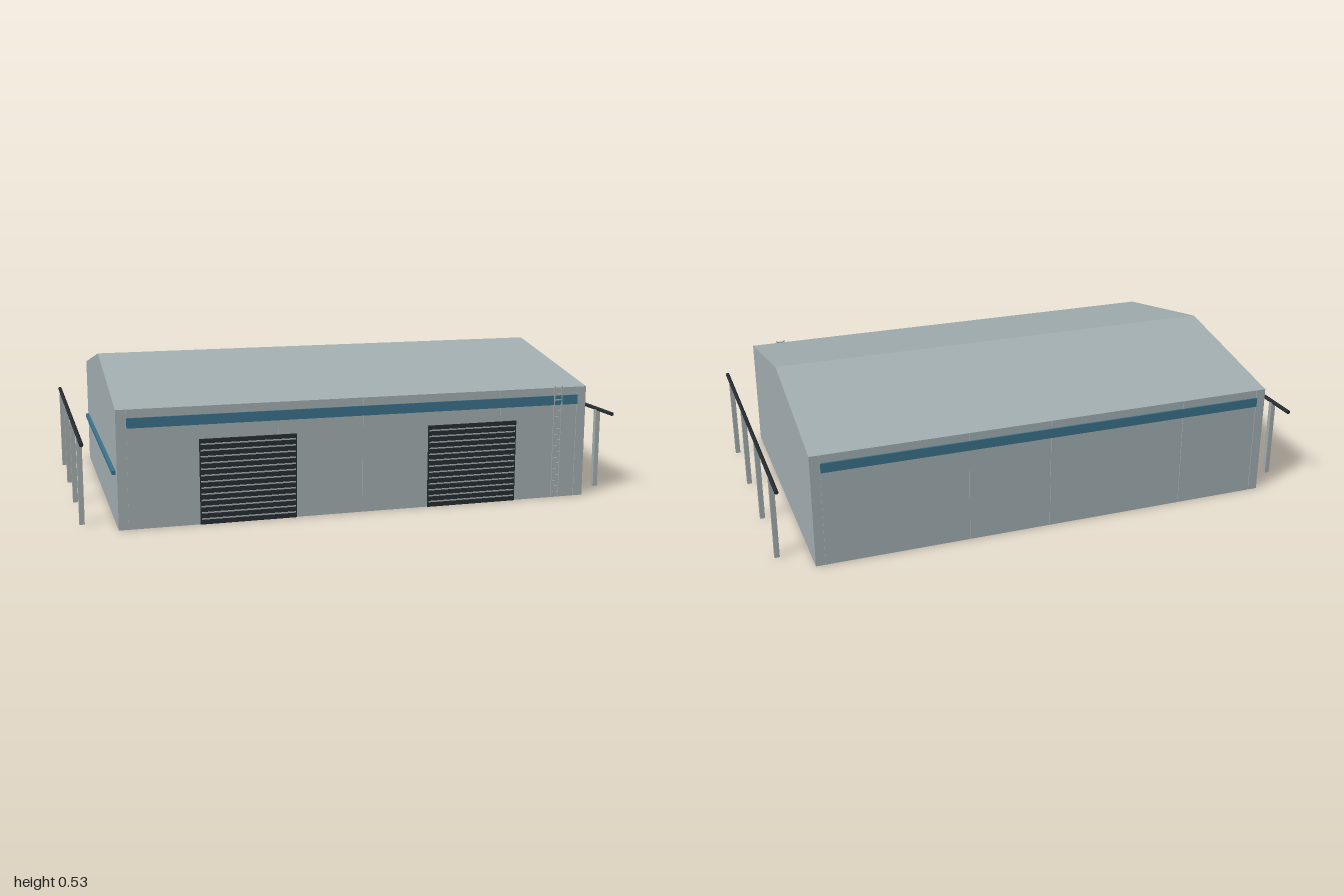
import * as THREE from 'three';

const material = (name, color) => Object.assign(new THREE.MeshStandardMaterial({ color }), { name });

export function createModel() {
  const model = new THREE.Group();
  model.name = 'warehouse';
  const wall = material('wall grey', 0xa3afb2);
  const steel = material('steel grey', 0xa6adaf);
  const dark = material('dark metal', 0x262c32);
  const blue = material('blue trim', 0x3a738c);

  const W = 0.876, D = 0.573, EAVE = 0.42, RIDGE = 0.533;

  const add = (name, geometry, mat, x, y, z, parent = model) => {
    const mesh = new THREE.Mesh(geometry, mat);
    mesh.name = name;
    mesh.position.set(x, y, z);
    parent.add(mesh);
    return mesh;
  };
  const box = (name, w, h, d, mat, x, y, z, parent) =>
    add(name, new THREE.BoxGeometry(w, h, d), mat, x, y, z, parent);

  // Hall: gable profile extruded along x
  const gable = new THREE.Shape([
    [-D, 0], [D, 0], [D, EAVE], [0, RIDGE], [-D, EAVE],
  ].map(([a, b]) => new THREE.Vector2(a, b)));
  const hall = new THREE.ExtrudeGeometry(gable, { depth: 2 * W, bevelEnabled: false });
  hall.translate(0, 0, -W);
  hall.rotateY(Math.PI / 2);
  add('hall', hall, wall, 0, 0, 0);

  // Blue bands and narrow panel ribs on both long walls
  for (const s of [1, -1]) {
    const long = new THREE.Group();
    long.name = s > 0 ? 'frontTrim' : 'backTrim';
    model.add(long);
    box('band', 1.68, 0.035, 0.006, blue, 0, 0.373, s * (D + 0.003), long);
    for (const x of [-0.84, -0.31, 0, 0.53, 0.84]) {
      box('panelRib', 0.003, EAVE - 0.002, 0.004, wall, s * x, EAVE / 2, s * (D + 0.001), long);
    }
  }

  // Roller doors
  for (const x of [-0.42, 0.42]) {
    const door = new THREE.Group();
    door.name = 'rollerDoor';
    door.position.set(x, 0, D);
    model.add(door);
    box('doorPanel', 0.346, 0.304, 0.006, dark, 0, 0.152, 0.002, door);
    for (let i = 0; i < 13; i++) {
      box('doorSlat', 0.338, 0.005, 0.003, steel, 0, 0.02 + i * 0.0222, 0.005, door);
    }
  }

  // Wall ladder
  const ladder = new THREE.Group();
  ladder.name = 'ladder';
  ladder.position.set(0.76, 0, D + 0.006);
  model.add(ladder);
  for (const x of [-0.015, 0.015]) box('ladderRail', 0.004, 0.425, 0.004, steel, x, 0.2145, 0, ladder);
  for (let i = 0; i < 19; i++) {
    box('ladderRung', 0.03, 0.004, 0.004, steel, 0, 0.02 + i * 0.0222, 0, ladder);
  }

  // Free-standing pipe racks along both gable ends
  for (const s of [1, -1]) {
    const rack = new THREE.Group();
    rack.name = s > 0 ? 'leftPipeRack' : 'rightPipeRack';
    rack.position.x = s * 0.991;
    model.add(rack);
    for (const z of [0.458, 0.153, -0.153, -0.458]) {
      box('post', 0.018, 0.305, 0.018, steel, 0, 0.1525, z, rack);
    }
    const pipe = new THREE.CylinderGeometry(0.0075, 0.0075, 2 * D, 8).rotateX(Math.PI / 2);
    add('pipe', pipe, dark, 0, 0.307, 0, rack);
  }

  // Low blue rail on the -x gable wall
  box('sideRail', 0.014, 0.014, 1.07, blue, -W - 0.006, 0.193, -0.005);

  return model;
}
